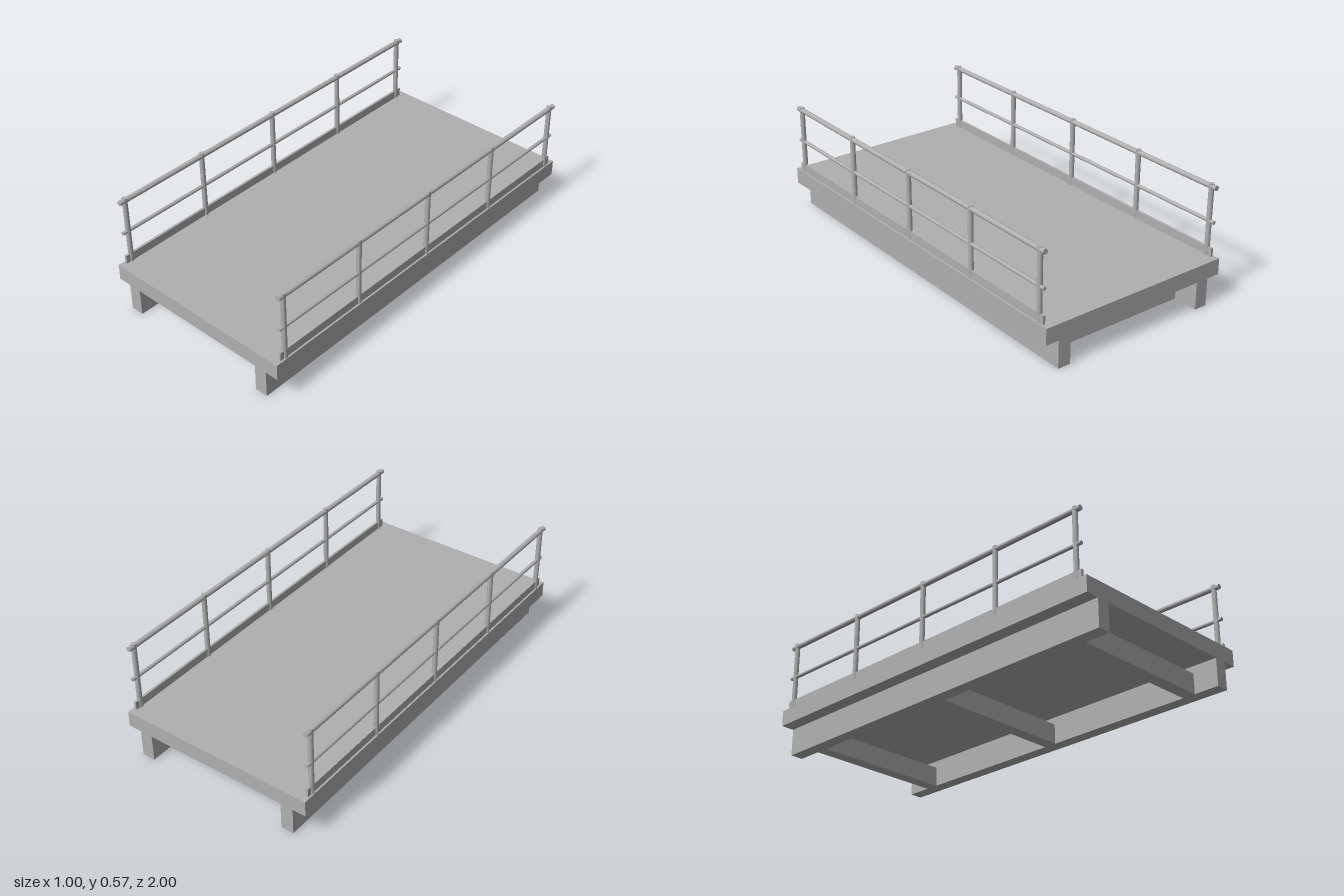
import * as THREE from 'three';

export function createModel() {
  const model = new THREE.Group();
  model.name = 'bridgeSection';
  const steel = new THREE.MeshStandardMaterial({ color: 0xb0b0b0 });
  steel.name = 'grey steel';

  function add(name, geometry, x, y, z, parent = model) {
    const mesh = new THREE.Mesh(geometry, steel);
    mesh.name = name;
    mesh.position.set(x, y, z);
    parent.add(mesh);
    return mesh;
  }

  // Deck slab
  add('deck', new THREE.BoxGeometry(1, 0.08, 2), 0, 0.177, 0);

  // Cross beams, set below the deck between the girders
  for (const z of [-0.84, 0, 0.84]) {
    add('crossBeam', new THREE.BoxGeometry(0.734, 0.1, 0.065), 0, 0.05, z);
  }

  // Shared railing parts
  const girder = new THREE.BoxGeometry(0.065, 0.137, 2);
  const toeBoard = new THREE.BoxGeometry(0.012, 0.042, 1.934);
  const post = new THREE.CylinderGeometry(0.0125, 0.0125, 0.351, 16);
  const topRail = new THREE.CylinderGeometry(0.0125, 0.0125, 1.934, 16).rotateX(Math.PI / 2);
  const midRail = new THREE.CylinderGeometry(0.009, 0.009, 1.934, 16).rotateX(Math.PI / 2);

  for (const side of [-1, 1]) {
    const label = side > 0 ? 'left' : 'right';
    add(label + 'Girder', girder, side * 0.3995, 0.0685, 0);

    // Railing with five posts, two rails and a toe board
    const railing = new THREE.Group();
    railing.name = label + 'Railing';
    railing.position.x = side * 0.485;
    model.add(railing);
    add('toeBoard', toeBoard, 0, 0.238, 0, railing);
    add('topRail', topRail, 0, 0.553, 0, railing);
    add('midRail', midRail, 0, 0.385, 0, railing);
    for (let i = -2; i <= 2; i++) add('post', post, 0, 0.3925, i * 0.4675, railing);
  }
  return model;
}
